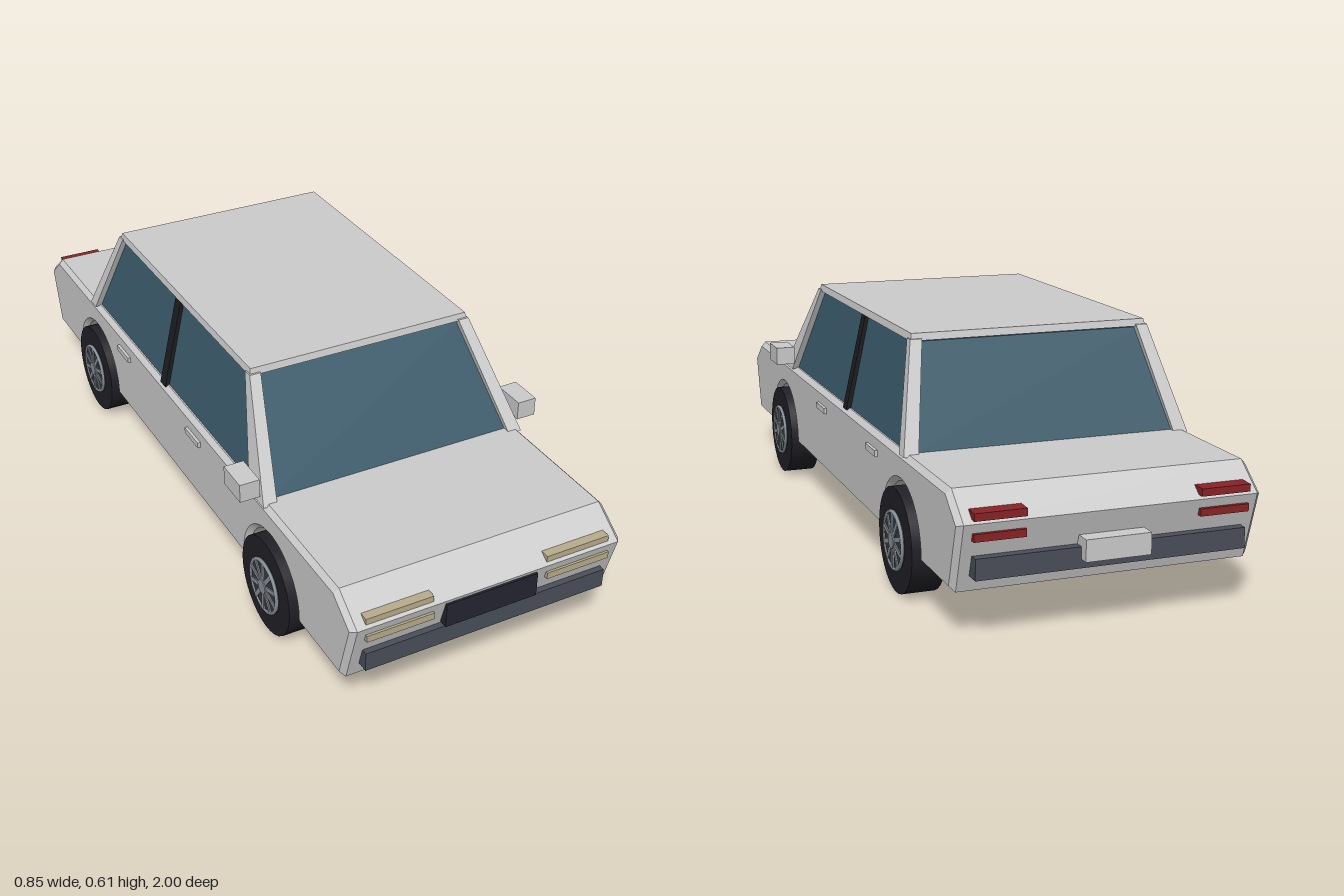
import * as THREE from 'three';

const mat = (color, extra = {}) => new THREE.MeshStandardMaterial({ color, ...extra });

export function createModel() {
  const car = new THREE.Group();
  car.name = 'car';
  const paint = mat(0xcccccc);
  const glass = mat(0x3a5a6a);
  const dark = mat(0x1c1d20);
  const bumperMat = mat(0x4a4e58);
  const grilleMat = mat(0x232530);
  const lampMat = mat(0xb8ad8c);
  const redMat = mat(0x8a2226);
  const tyreMat = mat(0x202026);
  const rimMat = mat(0x8c929a);
  const rimDark = mat(0x353c46);

  const add = (name, geometry, material, parent = car) => {
    const mesh = new THREE.Mesh(geometry, material);
    mesh.name = name;
    parent.add(mesh);
    return mesh;
  };

  // Box given by its limits on each axis
  const box = (name, [x0, x1], [y0, y1], [z0, z1], material) => {
    const g = new THREE.BoxGeometry(x1 - x0, y1 - y0, z1 - z0);
    g.translate((x0 + x1) / 2, (y0 + y1) / 2, (z0 + z1) / 2);
    return add(name, g, material);
  };

  // Block running from a bottom rectangle to a top one, each [x0, x1, z0, z1]
  const loft = (name, y0, bottom, y1, top, material) => {
    const g = new THREE.BoxGeometry(1, 1, 1);
    const p = g.attributes.position;
    for (let i = 0; i < p.count; i++) {
      const up = p.getY(i) > 0;
      const r = up ? top : bottom;
      p.setXYZ(i, p.getX(i) > 0 ? r[1] : r[0], up ? y1 : y0, p.getZ(i) > 0 ? r[3] : r[2]);
    }
    const flat = g.toNonIndexed();
    flat.computeVertexNormals();
    return add(name, flat, material);
  };

  // Range mirrored to side s (1 = left, -1 = right)
  const side = (s, a, b) => (s > 0 ? [a, b] : [-b, -a]);

  // Lower body: side profile with wheel arches, extruded across with a bevel
  const axles = [0.585, -0.575];
  const wheelY = 0.13, archR = 0.14, floorY = 0.115;
  const dip = Math.asin((wheelY - floorY) / archR);
  const profile = new THREE.Shape();
  profile.moveTo(0.945, floorY);
  profile.lineTo(0.992, 0.283);
  profile.lineTo(0.905, 0.345);
  profile.lineTo(-0.9, 0.345);
  profile.lineTo(-0.978, 0.283);
  profile.lineTo(-0.925, floorY);
  for (const z of [...axles].reverse()) {
    profile.absarc(z, wheelY, archR, Math.PI + dip, -dip, true);
  }
  profile.closePath();
  const bevel = 0.013, halfWidth = 0.37;
  const bodyGeo = new THREE.ExtrudeGeometry(profile, {
    depth: 2 * (halfWidth - bevel), bevelEnabled: true, bevelSegments: 1,
    bevelSize: bevel, bevelThickness: bevel, bevelOffset: -bevel, curveSegments: 20,
  });
  bodyGeo.translate(0, 0, -(halfWidth - bevel));
  bodyGeo.rotateY(-Math.PI / 2);
  add('body', bodyGeo, paint);
  box('underbody', [-0.305, 0.305], [0.095, 0.125], [-0.8, 0.82], dark);

  // Cabin: glass block, roof panel and pillars
  loft('cabinGlass', 0.34, [-0.354, 0.354, -0.597, 0.537], 0.587, [-0.3, 0.3, -0.47, 0.35], glass);
  loft('roof', 0.591, [-0.312, 0.312, -0.483, 0.363], 0.609, [-0.308, 0.308, -0.478, 0.358], paint);
  for (const s of [1, -1]) {
    loft('frontPillar', 0.34, [...side(s, 0.335, 0.372), 0.475, 0.555],
      0.596, [...side(s, 0.284, 0.314), 0.34, 0.367], paint);
    loft('rearPillar', 0.34, [...side(s, 0.335, 0.372), -0.61, -0.572],
      0.596, [...side(s, 0.284, 0.314), -0.487, -0.462], paint);
    loft('centrePillar', 0.34, [...side(s, 0.33, 0.366), -0.095, -0.062],
      0.592, [...side(s, 0.28, 0.309), -0.095, -0.062], dark);

    // Mirrors and door handles
    box('wingMirror', side(s, 0.372, 0.425), [0.362, 0.412], [0.445, 0.535], paint);
    for (const z of [0.135, -0.35]) {
      box('doorHandle', side(s, 0.36, 0.378), [0.288, 0.304], [z - 0.042, z + 0.042], paint);
    }

    // Lamps, two rows at each corner
    box('upperHeadlamp', side(s, 0.155, 0.332), [0.289, 0.305], [0.94, 0.985], lampMat);
    box('lowerHeadlamp', side(s, 0.155, 0.332), [0.243, 0.261], [0.95, 0.992], lampMat);
    box('upperTailLamp', side(s, 0.212, 0.335), [0.291, 0.309], [-0.984, -0.93], redMat);
    box('lowerTailLamp', side(s, 0.212, 0.335), [0.243, 0.261], [-0.98, -0.94], redMat);
  }

  // Nose and tail fittings
  box('grille', [-0.125, 0.125], [0.209, 0.274], [0.94, 0.995], grilleMat);
  box('frontBumper', [-0.33, 0.33], [0.154, 0.204], [0.93, 0.986], bumperMat);
  box('rearBumper', [-0.33, 0.33], [0.154, 0.204], [-0.976, -0.92], bumperMat);
  box('rearPlate', [-0.08, 0.08], [0.175, 0.227], [-1.0, -0.95], paint);

  // Wheels, built along x with the outer face toward +x
  const disc = (r, depth, x, segments = 32) => {
    const g = new THREE.CylinderGeometry(r, r, depth, segments);
    g.rotateZ(-Math.PI / 2);
    return g.translate(x, 0, 0);
  };
  const makeWheel = () => {
    const wheel = new THREE.Group();
    wheel.name = 'wheel';
    add('tyre', disc(0.13, 0.083, 0), tyreMat, wheel);
    add('rimBack', disc(0.074, 0.094, 0), rimDark, wheel);
    for (const x of [-0.046, 0.046]) {
      const ring = new THREE.TorusGeometry(0.07, 0.005, 6, 32);
      ring.rotateY(Math.PI / 2);
      ring.translate(x, 0, 0);
      add('rimRing', ring, rimMat, wheel);
    }
    for (let i = 0; i < 10; i++) {
      const spoke = new THREE.BoxGeometry(0.008, 0.052, 0.012);
      spoke.translate(0.046, 0.042, 0);
      spoke.rotateX((i / 10) * Math.PI * 2);
      add('spoke', spoke, rimMat, wheel);
    }
    add('hub', disc(0.02, 0.106, 0, 16), rimMat, wheel);
    return wheel;
  };
  for (const s of [1, -1]) {
    for (const z of axles) {
      const wheel = makeWheel();
      wheel.position.set(s * 0.343, wheelY, z);
      if (s < 0) wheel.rotation.y = Math.PI;
      car.add(wheel);
    }
  }
  return car;
}
